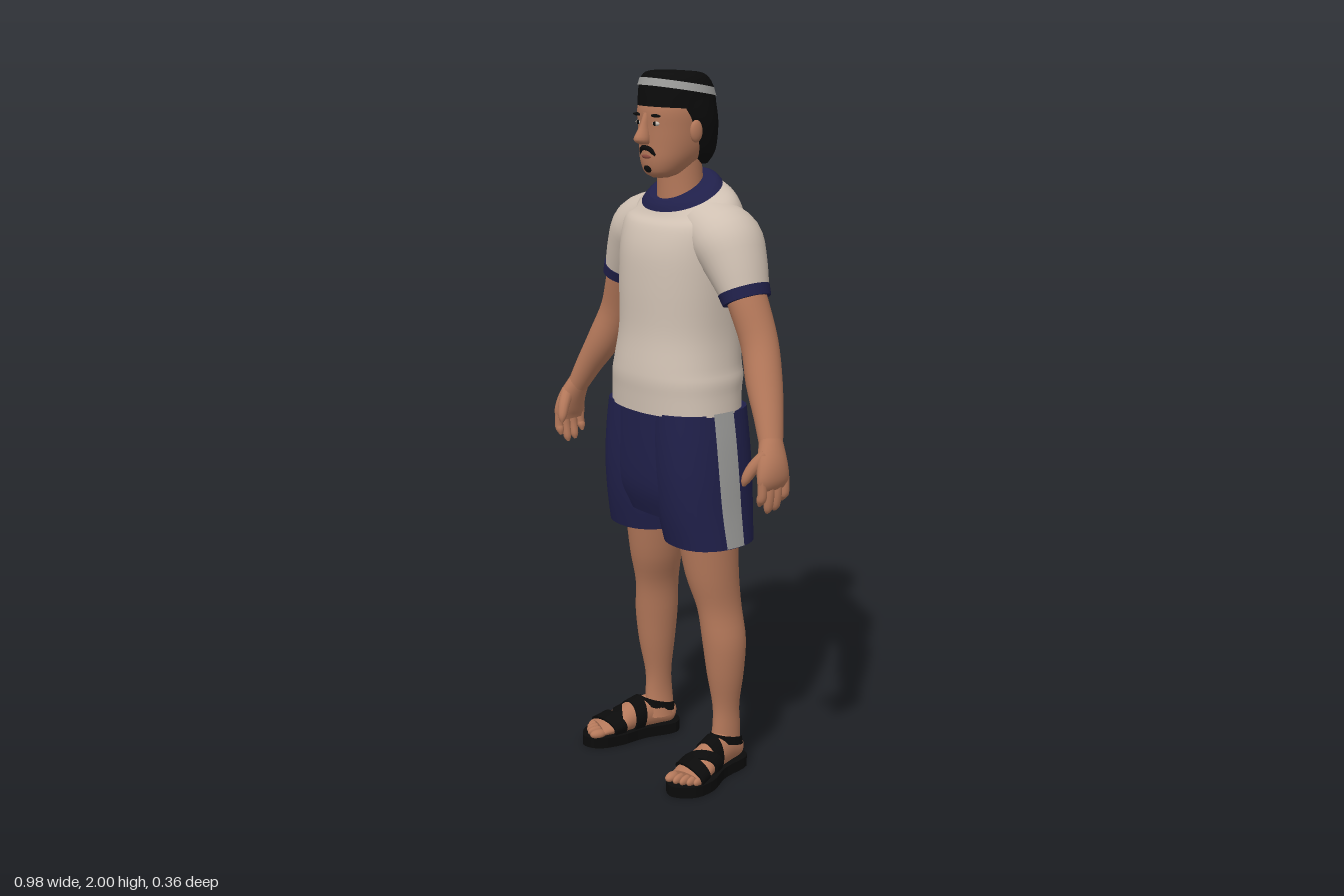
import * as THREE from 'three';
import { mergeVertices, mergeGeometries } from 'three/addons/utils/BufferGeometryUtils.js';

const material = (name, color, side = THREE.FrontSide) => {
  const m = new THREE.MeshStandardMaterial({ color, side });
  m.name = name;
  return m;
};

// Smooth in-between rows; every row is [x, y, z, halfWidth, halfDepth, tilt, skew].
function refine(rows, n) {
  const at = (i, k) => rows[Math.max(0, Math.min(rows.length - 1, i))][k] || 0;
  const out = [];
  for (let i = 0; i < rows.length - 1; i++) {
    for (let s = 0; s < n; s++) {
      const t = s / n;
      out.push([0, 1, 2, 3, 4, 5, 6].map((k) => {
        const a = at(i - 1, k), b = at(i, k), c = at(i + 1, k), d = at(i + 2, k);
        return b + 0.5 * t * (c - a + t * (2 * a - 5 * b + 4 * c - d + t * (3 * (b - c) + d - a)));
      }));
    }
  }
  out.push([0, 1, 2, 3, 4, 5, 6].map((k) => at(rows.length - 1, k)));
  return out;
}

// Skin over elliptic cross-sections. Without ref the sections are level and rows
// run upward; with ref they stand square to the path.
function loft(rows, { seg = 32, n = 4, p = 2, ref = null, cap = true, arc = null } = {}) {
  const R = refine(rows, n), pos = [], idx = [];
  const C = R.map((r) => new THREE.Vector3(r[0], r[1], r[2]));
  const bend = (v) => Math.sign(v) * Math.abs(v) ** (2 / p);
  const cols = arc ? seg + 1 : seg;
  const rings = R.map((r, i) => {
    const T = new THREE.Vector3(0, 1, 0), U = new THREE.Vector3(1, 0, 0), V = new THREE.Vector3(0, 0, 1);
    if (ref) {
      T.subVectors(C[Math.min(i + 1, C.length - 1)], C[Math.max(i - 1, 0)]).normalize();
      U.crossVectors(ref, T).normalize();
      V.crossVectors(U, T);
    }
    return Array.from({ length: cols }, (_, j) => {
      const f = j / seg, a = arc ? arc[0] + f * (arc[1] - arc[0]) : f * Math.PI * 2;
      const u = r[3] * bend(Math.cos(a)), v = r[4] * bend(Math.sin(a));
      return C[i].clone().addScaledVector(U, u).addScaledVector(V, v).addScaledVector(T, r[5] * v + r[6] * u);
    });
  });
  rings.forEach((ring) => ring.forEach((q) => pos.push(q.x, q.y, q.z)));
  for (let i = 0; i < rings.length - 1; i++) {
    for (let j = 0; j < seg; j++) {
      const a = i * cols + j, b = i * cols + (j + 1) % cols;
      idx.push(a, a + cols, b, b, a + cols, b + cols);
    }
  }
  if (cap && !arc) {
    [0, rings.length - 1].forEach((i) => {
      const base = pos.length / 3;
      [C[i], ...rings[i]].forEach((q) => pos.push(q.x, q.y, q.z));
      for (let j = 0; j < seg; j++) {
        const a = base + 1 + j, b = base + 1 + (j + 1) % seg;
        idx.push(base, i ? b : a, i ? a : b);
      }
    });
  }
  const g = new THREE.BufferGeometry();
  g.setAttribute('position', new THREE.Float32BufferAttribute(pos, 3));
  g.setIndex(idx);
  g.computeVertexNormals();
  return g;
}

function mirrored(geo) {
  const g = geo.index ? geo.clone() : mergeVertices(geo);
  g.scale(-1, 1, 1);
  const a = g.index.array;
  for (let i = 0; i < a.length; i += 3) [a[i], a[i + 1]] = [a[i + 1], a[i]];
  return g;
}

// Ellipsoid without uv, so that it merges with lofts
const ball = (x, y, z, a, b, c) =>
  new THREE.SphereGeometry(1, 20, 14).deleteAttribute('uv').scale(a, b, c).translate(x, y, z);

export function createModel() {
  const model = new THREE.Group();
  model.name = 'standingMan';
  const skin = material('skin', 0xb4785a), shirt = material('shirt cream', 0xcfc0b2);
  const navy = material('navy cloth', 0x20204a), black = material('black', 0x0b0b0b);
  const grey = material('trim grey', 0x9c9c9a, THREE.DoubleSide);
  const white = material('eye white', 0xc4b8ac), lip = material('lip', 0x8a4a3e);
  const add = (name, geo, mat) => {
    const m = new THREE.Mesh(geo, mat);
    m.name = name;
    model.add(m);
  };
  const pair = (name, geo, mat) => {
    add(name + 'Left', geo, mat);
    add(name + 'Right', mirrored(geo), mat);
  };
  const Z = new THREE.Vector3(0, 0, 1), Y = new THREE.Vector3(0, 1, 0);

  // Shirt with collar, sleeves and cuffs
  add('shirtBody', loft([
    [0, 1.08, -0.003, 0.207, 0.155], [0, 1.13, -0.004, 0.202, 0.158], [0, 1.17, -0.007, 0.2, 0.163],
    [0, 1.21, -0.008, 0.191, 0.16], [0, 1.3, -0.018, 0.182, 0.157], [0, 1.42, -0.022, 0.188, 0.157],
    [0, 1.52, -0.025, 0.195, 0.15], [0, 1.6, -0.03, 0.2, 0.13, -0.1], [0, 1.645, -0.03, 0.175, 0.105, -0.35],
    [0, 1.67, -0.022, 0.13, 0.085, -0.5], [0, 1.685, -0.018, 0.1, 0.072, -0.55],
  ], { seg: 48, p: 2.2 }), shirt);
  add('collar', loft([[0, 1.67, -0.022, 0.134, 0.09, -0.52], [0, 1.684, -0.02, 0.117, 0.083, -0.54],
    [0, 1.692, -0.018, 0.1, 0.073, -0.55]], { seg: 48, p: 2.1 }), navy);
  pair('sleeve', loft([[0.1, 1.6, -0.035, 0.07, 0.09], [0.175, 1.555, -0.035, 0.09, 0.103],
    [0.22, 1.495, -0.033, 0.079, 0.09], [0.263, 1.418, -0.03, 0.058, 0.07]], { ref: Z }), shirt);
  pair('cuff', loft([[0.256, 1.433, -0.03, 0.063, 0.076], [0.269, 1.406, -0.03, 0.058, 0.072]], { ref: Z, n: 1 }), navy);

  // Arms, hands and fingers
  pair('arm', loft([[0.22, 1.5, -0.03, 0.05, 0.06], [0.267, 1.413, -0.03, 0.05, 0.058],
    [0.315, 1.3, -0.035, 0.05, 0.052], [0.36, 1.2, -0.015, 0.048, 0.05], [0.405, 1.12, 0.008, 0.037, 0.041],
    [0.44, 1.05, 0.028, 0.028, 0.033]], { ref: Z }), skin);
  const hand = [loft([[0.435, 1.065, 0.025, 0.028, 0.033], [0.457, 1.01, 0.038, 0.029, 0.047],
    [0.465, 0.97, 0.042, 0.024, 0.052], [0.463, 0.945, 0.042, 0.014, 0.046]], { ref: Z, seg: 20 })];
  [0.9, 0.876, 0.88, 0.902].forEach((tip, i) => {
    const z = 0.08 - i * 0.026;
    hand.push(loft([[0.465, 0.97, z, 0.013, 0.013], [0.466, 0.93, z, 0.013, 0.013],
      [0.46, tip + 0.015, z, 0.012, 0.012], [0.455, tip, z, 0.004, 0.004]], { ref: Z, seg: 10 }));
  });
  hand.push(loft([[0.452, 1.035, 0.055, 0.018, 0.02], [0.433, 1.0, 0.083, 0.017, 0.017],
    [0.421, 0.968, 0.098, 0.013, 0.013], [0.417, 0.95, 0.102, 0.004, 0.004]], { ref: Z, seg: 12 }));
  pair('hand', mergeGeometries(hand), skin);

  // Shorts with side stripes
  add('shortsHip', loft([[0, 0.775, -0.012, 0.19, 0.122], [0, 0.85, -0.007, 0.218, 0.142],
    [0, 0.95, -0.005, 0.214, 0.147], [0, 1.09, -0.005, 0.2, 0.146]], { seg: 48, p: 2.3 }), navy);
  const shortsLeg = [[0.127, 0.705, -0.02, 0.117, 0.124], [0.119, 0.8, -0.013, 0.116, 0.137],
    [0.114, 0.9, -0.008, 0.114, 0.143], [0.106, 1.0, -0.006, 0.111, 0.143], [0.1, 1.085, -0.006, 0.103, 0.14]];
  pair('shortsLeg', loft(shortsLeg, { p: 2.3 }), navy);
  pair('shortsStripe', loft(shortsLeg.map(([x, y, z, a, b]) => [x + 0.004, y + 0.003, z, a, b]),
    { p: 2.3, seg: 8, arc: [-0.2, 0.2] }), grey);

  // Legs
  pair('leg', loft([[0.155, 0.06, -0.06, 0.038, 0.05], [0.16, 0.13, -0.062, 0.033, 0.045],
    [0.16, 0.2, -0.06, 0.035, 0.042], [0.161, 0.3, -0.056, 0.05, 0.056], [0.158, 0.4, -0.053, 0.058, 0.066],
    [0.145, 0.5, -0.045, 0.055, 0.069], [0.13, 0.6, -0.03, 0.071, 0.08], [0.12, 0.73, -0.02, 0.085, 0.09]]), skin);

  // Feet and sandals, turned outward
  const place = (g) => g.rotateY(0.24).translate(0.183, 0, 0.018);
  const foot = [loft([[0, 0.05, -0.135, 0.012, 0.015], [0, 0.055, -0.12, 0.033, 0.033],
    [0, 0.07, -0.07, 0.037, 0.05], [0, 0.065, 0, 0.041, 0.045], [0, 0.051, 0.06, 0.052, 0.029],
    [0, 0.042, 0.115, 0.049, 0.017]], { ref: Y })];
  [-0.036, -0.012, 0.008, 0.026, 0.042].forEach((x, i) => {
    foot.push(ball(x, 0.04, 0.131 - i * i * 0.0017, i ? 0.01 : 0.015, 0.014, 0.026));
  });
  pair('foot', place(mergeGeometries(foot)), skin);
  const outline = [[0, -0.15], [0.042, -0.125], [0.042, -0.02], [0.063, 0.07], [0.047, 0.135],
    [-0.01, 0.168], [-0.05, 0.14], [-0.06, 0.07], [-0.043, -0.02], [-0.042, -0.125]];
  const curve = new THREE.CatmullRomCurve3(outline.map(([x, z]) => new THREE.Vector3(x, z, 0)), true);
  const sole = new THREE.ExtrudeGeometry(new THREE.Shape(curve.getPoints(48).slice(0, -1).map((q) => new THREE.Vector2(q.x, q.y))),
    { depth: 0.032, bevelEnabled: false }).rotateX(Math.PI / 2).translate(0, 0.032, 0);
  pair('sandalSole', place(sole), black);
  const strap = (z, y, a, b, tilt, skew, w) => loft([[0, y + w * 0.25, z - w, a, b + 0.003, tilt, skew],
    [0, y - w * 0.25, z + w, a + 0.003, b - 0.003, tilt, skew]], { ref: Y, n: 2 });
  pair('sandalStraps', place(mergeGeometries([
    strap(0.078, 0.05, 0.058, 0.031, 0, 0.25, 0.019), strap(0.045, 0.055, 0.054, 0.038, 0, -0.45, 0.016),
    strap(0.0, 0.064, 0.046, 0.052, 0.3, 0.2, 0.017),
    loft([[0, 0.082, -0.08, 0.043, 0.058, 0.3], [0, 0.108, -0.078, 0.041, 0.054, 0.3]], { n: 1, cap: false }),
  ])), black);

  // Head and neck
  add('neck', loft([[0, 1.62, -0.02, 0.072, 0.066], [0, 1.7, -0.016, 0.065, 0.063], [0, 1.79, -0.01, 0.063, 0.06]]), skin);
  add('head', loft([[0, 1.715, 0.045, 0.022, 0.028], [0, 1.728, 0.038, 0.05, 0.054], [0, 1.76, 0.023, 0.072, 0.078],
    [0, 1.8, 0.006, 0.086, 0.096], [0, 1.85, 0, 0.093, 0.103], [0, 1.9, -0.003, 0.096, 0.107],
    [0, 1.95, -0.005, 0.085, 0.095]], { p: 2.15 }), skin);
  add('nose', loft([[0, 1.806, 0.105, 0.013, 0.014], [0, 1.82, 0.113, 0.019, 0.026], [0, 1.855, 0.104, 0.011, 0.016],
    [0, 1.89, 0.098, 0.009, 0.008]], { seg: 16 }), skin);
  pair('ear', ball(0.099, 1.842, 0.008, 0.011, 0.03, 0.02), skin);
  pair('eye', ball(0.036, 1.862, 0.095, 0.015, 0.006, 0.006), white);
  pair('pupil', ball(0.036, 1.862, 0.099, 0.006, 0.006, 0.004), black);
  pair('eyebrow', ball(0.038, 1.883, 0.098, 0.021, 0.0045, 0.006), black);
  add('mouth', ball(0, 1.773, 0.099, 0.02, 0.006, 0.006), lip);

  // Hair, moustache and chin beard
  add('hair', loft([[0, 1.748, -0.055, 0.052, 0.04], [0, 1.785, -0.046, 0.086, 0.063], [0, 1.85, -0.03, 0.104, 0.084],
    [0, 1.9, -0.014, 0.105, 0.098], [0, 1.94, -0.01, 0.098, 0.095]]), black);
  add('moustache', new THREE.TubeGeometry(new THREE.CatmullRomCurve3([[-0.032, 1.776, 0.088], [-0.018, 1.793, 0.1],
    [0, 1.797, 0.105], [0.018, 1.793, 0.1], [0.032, 1.776, 0.088]].map((q) => new THREE.Vector3(...q))), 20, 0.007, 8), black);
  add('chinBeard', ball(0, 1.742, 0.09, 0.018, 0.013, 0.011), black);

  // Cap with band
  add('cap', loft([[0, 1.9, -0.005, 0.101, 0.11, 0.06], [0, 1.95, -0.005, 0.099, 0.105, 0.12],
    [0, 1.981, -0.004, 0.084, 0.093, 0.1], [0, 1.994, -0.004, 0.058, 0.07, 0.06], [0, 1.997, -0.004, 0.015, 0.02, 0.06]]), black);
  add('capBand', loft([[0, 1.943, -0.005, 0.103, 0.109, 0.17], [0, 1.964, -0.005, 0.097, 0.103, 0.17]], { n: 1, cap: false }), grey);
  return model;
}
